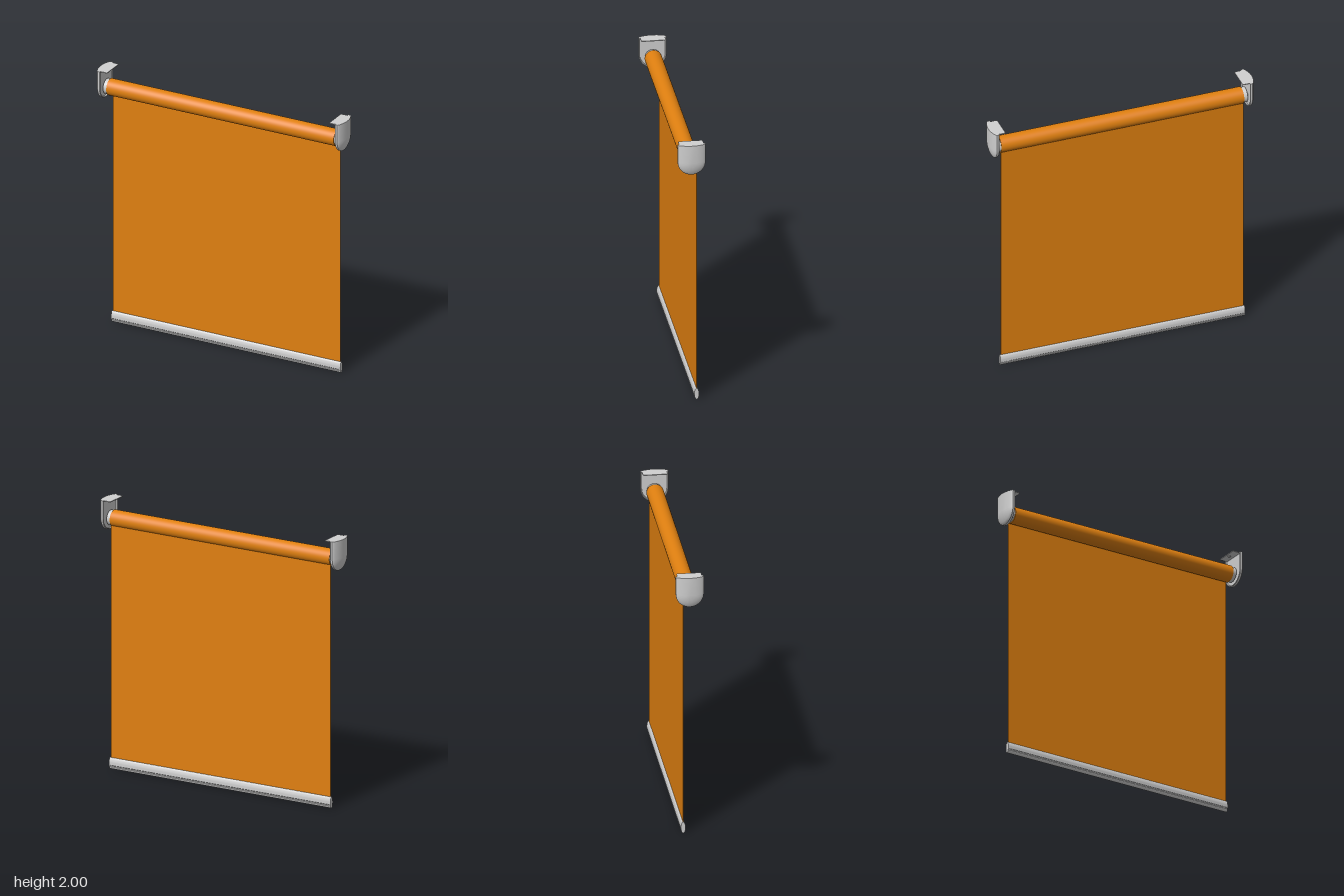
import * as THREE from 'three';
import { toCreasedNormals } from 'three/addons/utils/BufferGeometryUtils.js';

const orange = new THREE.MeshStandardMaterial({ color: 0xe08010, side: THREE.DoubleSide });
orange.name = 'orange fabric';
const grey = new THREE.MeshStandardMaterial({ color: 0xd0d0d0, side: THREE.DoubleSide });
grey.name = 'light grey';

const AXIS_Y = 1.853, FABRIC_Z = -0.042;

function add(parent, name, geometry, material, x = 0, y = 0, z = 0) {
  const mesh = new THREE.Mesh(geometry, material);
  mesh.name = name;
  mesh.position.set(x, y, z);
  parent.add(mesh);
  return mesh;
}

// Cylinder lying along x
function rod(radius, length, sides = 48) {
  return new THREE.CylinderGeometry(radius, radius, length, sides).rotateZ(Math.PI / 2);
}

// D-shaped outline in (z, y): flat top at y = 2, half-round bottom
function bracketOutline(inset) {
  const r = 0.1 - inset, pts = [[r, 2]];
  for (let i = 0; i <= 24; i++) {
    const a = -Math.PI * i / 24;
    pts.push([r * Math.cos(a), 1.867 + r * Math.sin(a)]);
  }
  pts.push([-r, 2]);
  return pts;
}

// Domed cover lofted from D-shaped sections, with a shallow recess inside
function coverGeometry() {
  const layers = [[0.962, 0.1], [0.962, 0.01], [0.952, 0.008], [0.952, 0.002], [0.954, 0],
    [0.97, 0], [0.975, 0.004], [0.983, 0.018], [0.991, 0.04], [0.997, 0.065], [1, 0.1]];
  const pos = [], index = [];
  const n = bracketOutline(0).length;
  for (const [x, inset] of layers) {
    for (const [z, y] of bracketOutline(inset)) pos.push(x, y, z);
  }
  for (let l = 0; l < layers.length - 1; l++) {
    for (let i = 0; i < n; i++) {
      const a = l * n + i, b = l * n + (i + 1) % n;
      index.push(a, a + n, b, b, a + n, b + n);
    }
  }
  const g = new THREE.BufferGeometry();
  g.setAttribute('position', new THREE.Float32BufferAttribute(pos, 3));
  g.setIndex(index);
  // Drop collapsed triangles so that normals stay clean
  const flat = g.toNonIndexed(), p = flat.attributes.position, keep = [];
  const t = new THREE.Triangle();
  for (let i = 0; i < p.count; i += 3) {
    t.setFromAttributeAndIndices(p, i, i + 1, i + 2);
    if (t.getArea() > 1e-9) keep.push(...t.a, ...t.b, ...t.c);
  }
  const clean = new THREE.BufferGeometry();
  clean.setAttribute('position', new THREE.Float32BufferAttribute(keep, 3));
  return toCreasedNormals(clean, 0.6);
}

// Mounting flange with rounded inner corners, seen from above
function flangeGeometry() {
  const s = new THREE.Shape(), w = 0.088, x0 = 0.9, x1 = 0.965, r = 0.01;
  s.moveTo(x1, -w);
  s.lineTo(x1, w);
  s.lineTo(x0 + r, w);
  s.quadraticCurveTo(x0, w, x0, w - r);
  s.lineTo(x0, -w + r);
  s.quadraticCurveTo(x0, -w, x0 + r, -w);
  s.closePath();
  return new THREE.ExtrudeGeometry(s, { depth: 0.006, bevelEnabled: false }).rotateX(Math.PI / 2);
}

// End bracket on the +x side
function bracket(name) {
  const g = new THREE.Group();
  g.name = name;
  add(g, 'bracketCover', coverGeometry(), grey);
  add(g, 'mountingFlange', flangeGeometry(), grey, 0, 1.999, 0);
  add(g, 'flangeScrew', new THREE.CylinderGeometry(0.012, 0.012, 0.006, 16), grey, 0.924, 1.991, 0);
  add(g, 'rollerPlug', rod(0.056, 0.032), grey, 0.934, AXIS_Y, 0);
  add(g, 'axlePin', rod(0.025, 0.03, 24), grey, 0.953, AXIS_Y, 0);
  return g;
}

// Oval bar section with a narrow groove on the front and back
function barShape(grooved) {
  const s = new THREE.Shape(), N = 64;
  for (let i = 0; i < N; i++) {
    const a = i / N * Math.PI * 2, y = 0.0425 * Math.sin(a);
    const k = grooved && Math.abs(y + 0.018) < 0.0035 ? 0.82 : 1;
    s[i ? 'lineTo' : 'moveTo'](0.017 * k * Math.cos(a), y);
  }
  s.closePath();
  return s;
}

function barGeometry(grooved, length) {
  const g = new THREE.ExtrudeGeometry(barShape(grooved), { depth: length, bevelEnabled: false });
  return toCreasedNormals(g.translate(0, 0, -length / 2).rotateY(Math.PI / 2), 0.5);
}

export function createModel() {
  const model = new THREE.Group();
  model.name = 'rollerBlind';

  // Rolled fabric and hanging sheet
  add(model, 'fabricRoll', rod(0.062, 1.842, 64), orange, 0, AXIS_Y, 0);
  add(model, 'fabricSheet', new THREE.BoxGeometry(1.842, 1.76, 0.003), orange, 0, 0.94, FABRIC_Z);

  // Bottom bar with end caps
  add(model, 'bottomBar', barGeometry(true, 1.84), grey, 0, 0.0425, FABRIC_Z);
  for (const side of [-1, 1]) {
    add(model, 'bottomBarCap', barGeometry(false, 0.008), grey, side * 0.924, 0.0425, FABRIC_Z);
  }

  // Matching brackets at both ends
  model.add(bracket('leftBracket'));
  const right = bracket('rightBracket');
  right.rotation.y = Math.PI;
  model.add(right);
  return model;
}
